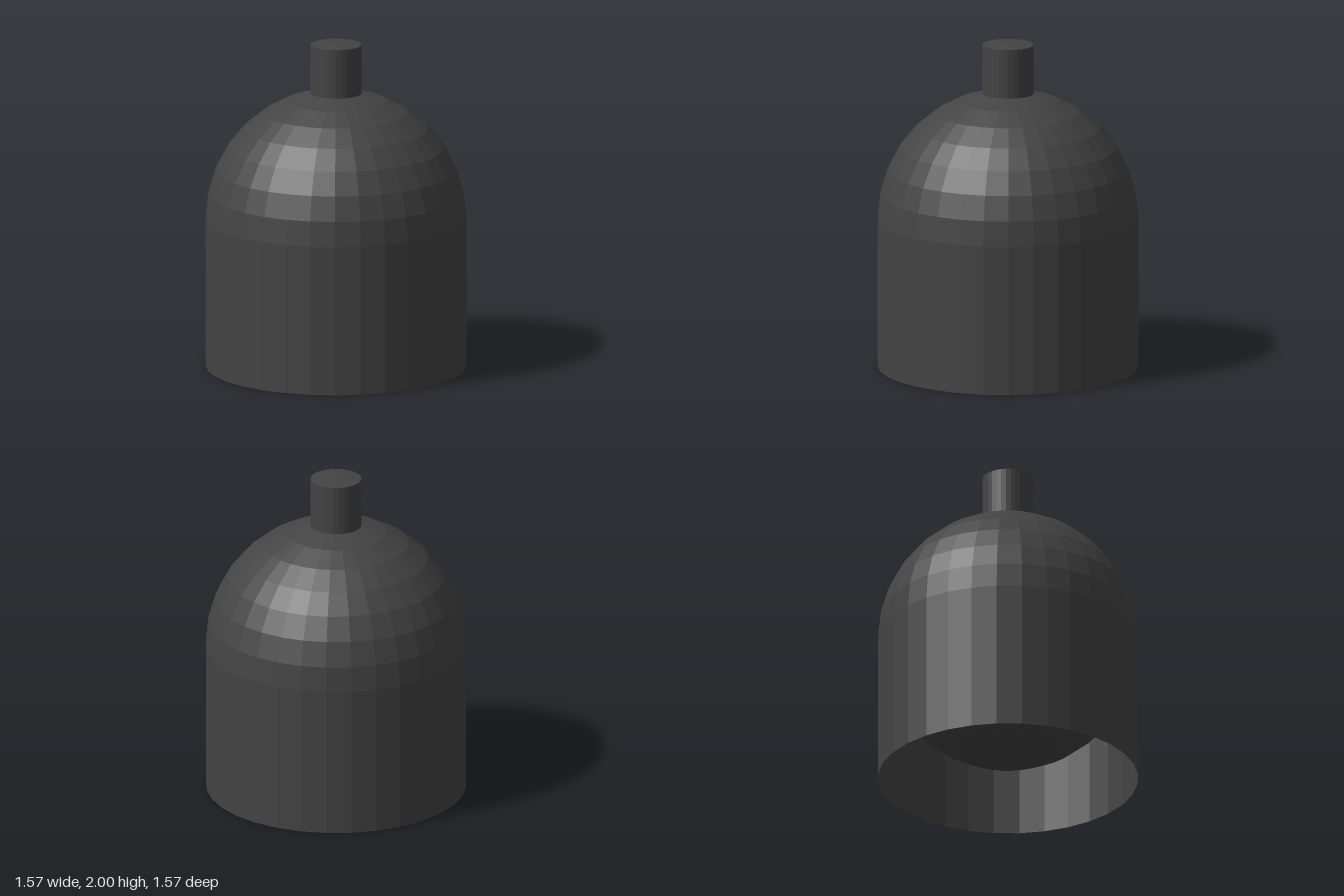
import * as THREE from 'three';

const R = 0.785;        // body radius
const CENTER = 0.915;   // height of the dome's equator
const SIDES = 32;
const RINGS = 16;       // latitude steps from pole to pole

export function createModel() {
  const group = new THREE.Group();
  const material = new THREE.MeshStandardMaterial({
    color: 0x444444, flatShading: true, side: THREE.DoubleSide,
  });

  // Point on the sphere's profile, step 0 = bottom pole, RINGS = top pole
  const ring = (i, lift = 0) => {
    const a = (i / RINGS) * Math.PI;
    return new THREE.Vector2(Math.max(0, R * Math.sin(a)), CENTER + lift - R * Math.cos(a));
  };
  const arc = (from, to) =>
    Array.from({ length: to - from + 1 }, (_, k) => ring(from + k));

  const turned = (name, points) => {
    const mesh = new THREE.Mesh(new THREE.LatheGeometry(points, SIDES), material);
    mesh.name = name;
    group.add(mesh);
  };

  // Upper shell, stopping at the ring where the neck rises
  turned('dome', arc(RINGS / 2, RINGS - 1));

  // Neck: the raised polar cap, slightly pointed on top
  const lift = 2 - (CENTER + R);
  turned('neck', [ring(RINGS - 1), ring(RINGS - 1, lift), ring(RINGS, lift)]);

  // Open cylindrical wall in two bands
  const seam = 0.15;
  turned('wall', [new THREE.Vector2(R, seam), new THREE.Vector2(R, CENTER)]);
  turned('bottomBand', [new THREE.Vector2(R, 0), new THREE.Vector2(R, seam)]);

  // Rounded underside bulging down inside the wall
  turned('innerBowl', arc(0, RINGS / 2));

  return group;
}
